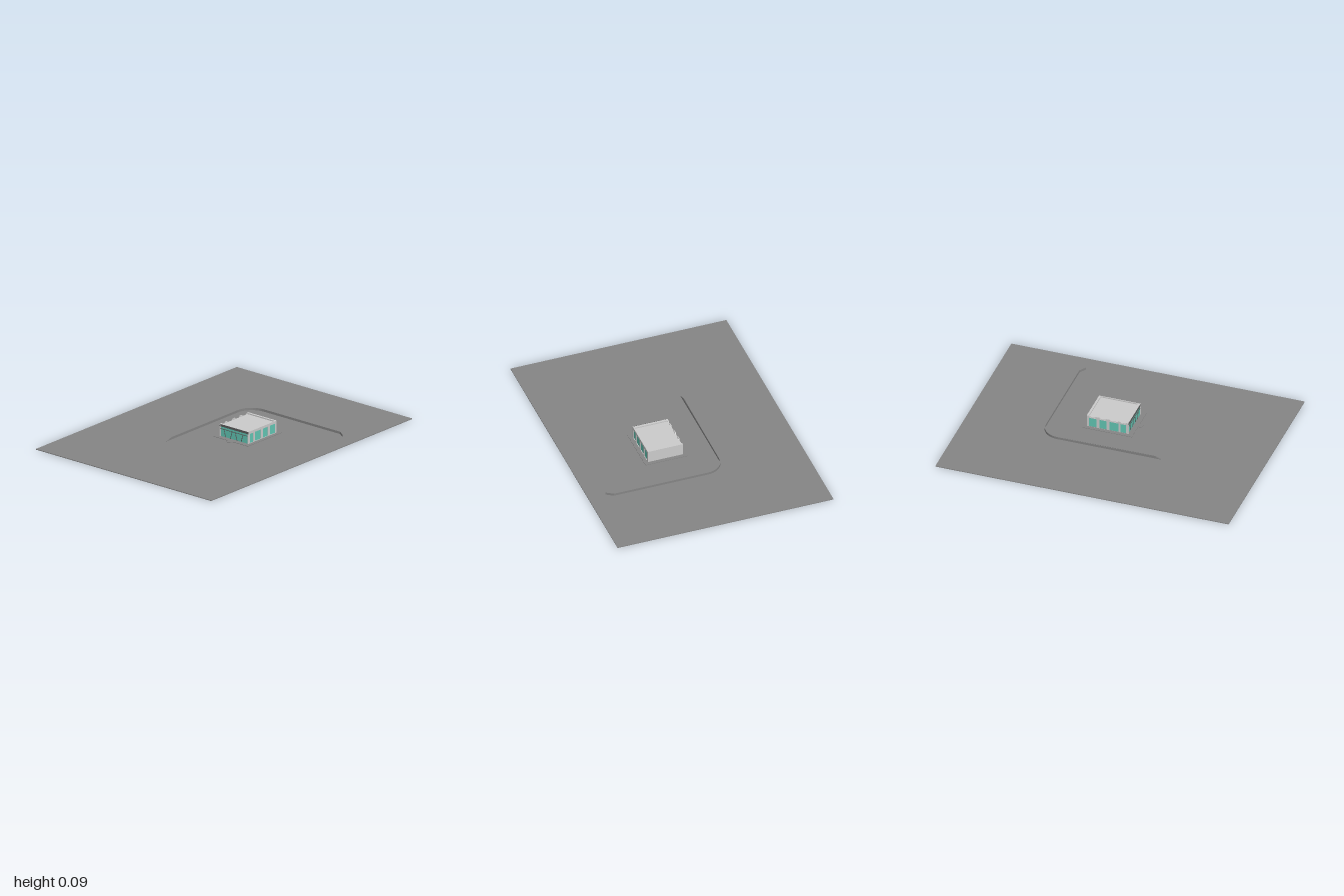
import * as THREE from 'three';

const mat = (color) => new THREE.MeshStandardMaterial({ color, flatShading: true });
const asphalt = mat(0x858585), grey = mat(0xcccccc), teal = mat(0x62c6b4), dark = mat(0x5a5a5a);
const G = 0.005; // ground surface
const X0 = 0.01, X1 = 0.25, Z0 = -0.23, Z1 = 0.055, TOP = 0.09;

// Box from its minimum and maximum corners
function block(parent, name, material, x0, x1, y0, y1, z0, z1) {
  const mesh = new THREE.Mesh(new THREE.BoxGeometry(x1 - x0, y1 - y0, z1 - z0), material);
  mesh.position.set((x0 + x1) / 2, (y0 + y1) / 2, (z0 + z1) / 2);
  mesh.name = name;
  parent.add(mesh);
  return mesh;
}

// Shape drawn in (z, y), extruded along x from x0
function sideWall(parent, name, shape, x0, depth) {
  const geo = new THREE.ExtrudeGeometry(shape, { depth, bevelEnabled: false });
  geo.rotateY(-Math.PI / 2).translate(x0 + depth, 0, 0);
  const mesh = new THREE.Mesh(geo, grey);
  mesh.name = name;
  parent.add(mesh);
}

// Low kerb wall following a bent line, its tail sloping down to the ground
function boundaryWall() {
  const line = [[-0.19, 0.35], [-0.19, 0.3], [-0.19, -0.36]];
  for (let i = 1; i <= 10; i++) {
    const a = (i / 10) * Math.PI / 2;
    line.push([-0.07 - 0.12 * Math.cos(a), -0.36 - 0.12 * Math.sin(a)]);
  }
  line.push([0.575, -0.48], [0.62, -0.45]);
  const t = 0.0025;
  const offset = (s) => line.map(([x, z], i) => {
    const a = line[Math.max(i - 1, 0)], b = line[Math.min(i + 1, line.length - 1)];
    const len = Math.hypot(b[0] - a[0], b[1] - a[1]);
    return new THREE.Vector2(x - s * (b[1] - a[1]) / len, -(z + s * (b[0] - a[0]) / len));
  });
  const shape = new THREE.Shape([...offset(t), ...offset(-t).reverse()]);
  const geo = new THREE.ExtrudeGeometry(shape, { depth: 0.016, bevelEnabled: false });
  geo.rotateX(-Math.PI / 2);
  const p = geo.attributes.position;
  for (let i = 0; i < p.count; i++) {
    if (p.getZ(i) > 0.32) p.setY(i, p.getY(i) * 0.1);
  }
  geo.translate(0, G, 0);
  geo.computeVertexNormals();
  const mesh = new THREE.Mesh(geo, asphalt);
  mesh.name = 'boundaryWall';
  return mesh;
}

export function createModel() {
  const root = new THREE.Group();
  root.name = 'buildingSite';

  block(root, 'ground', asphalt, -0.74, 0.74, 0, G, -1, 1);
  root.add(boundaryWall());

  // Pavement and entrance step
  block(root, 'pavement', asphalt, -0.015, 0.275, G, 0.008, -0.255, 0.085);
  block(root, 'entranceStep', asphalt, 0.11, 0.145, G, 0.008, 0.085, 0.11);

  const building = new THREE.Group();
  building.name = 'building';
  root.add(building);

  // Glazed core, roof, back wall and parapets
  block(building, 'glassCore', teal, X0 + 0.004, X1 - 0.004, G, 0.074, Z0 + 0.01, Z1 - 0.004);
  block(building, 'roof', grey, X0 + 0.004, X1 - 0.004, 0.074, 0.082, Z0 + 0.01, Z1 - 0.01);
  block(building, 'backWall', grey, X0, X1, G, TOP, Z0, Z0 + 0.014);
  block(building, 'frontParapet', grey, X0, X1, 0.075, TOP, Z1 - 0.018, Z1 - 0.002);
  block(building, 'frontFascia', dark, X0, X1, 0.075, TOP, Z1 - 0.002, Z1);

  // Bays shared by both long sides
  const bays = [[0, 0.038], [-0.075, -0.015], [-0.145, -0.095], [-0.215, -0.165]];

  // Left wall with four window openings
  const left = new THREE.Shape();
  left.moveTo(Z0, G).lineTo(Z1, G).lineTo(Z1, TOP).lineTo(Z0, TOP).closePath();
  for (const [a, b] of bays) {
    const hole = new THREE.Path();
    hole.moveTo(a, 0.009).lineTo(a, 0.073).lineTo(b, 0.073).lineTo(b, 0.009).closePath();
    left.holes.push(hole);
  }
  sideWall(building, 'leftWall', left, X1 - 0.006, 0.006);

  // Right wall: piers rising between notched, glazed bays
  const right = new THREE.Shape();
  right.moveTo(Z1, TOP).lineTo(Z1, G);
  right.lineTo(Z0, G).lineTo(Z0, TOP);
  for (const [a, b] of [...bays].reverse()) {
    right.lineTo(a, TOP).lineTo(a + 0.008, 0.078).lineTo(b - 0.008, 0.078).lineTo(b, TOP);
  }
  right.closePath();
  for (const [a, b] of bays) {
    const hole = new THREE.Path();
    hole.moveTo(a, 0.009).lineTo(a, 0.073).lineTo(b, 0.073).lineTo(b, 0.009).closePath();
    right.holes.push(hole);
  }
  sideWall(building, 'rightWall', right, X0, 0.006);

  // Front transom and slanted mullions
  block(building, 'frontTransom', dark, X0, X1, 0.058, 0.061, Z1 - 0.004, Z1 - 0.001);
  const mullions = [[0.06, 0.045], [0.097, 0.113], [0.156, 0.14], [0.188, 0.204]];
  for (const [foot, head] of mullions) {
    const h = 0.058 - G;
    const bar = block(building, 'frontMullion', dark, -0.0015, 0.0015, 0, Math.hypot(h, head - foot), Z1 - 0.004, Z1 - 0.001);
    bar.position.x = (foot + head) / 2;
    bar.position.y = G + h / 2;
    bar.rotation.z = -Math.atan2(head - foot, h);
  }
  return root;
}
